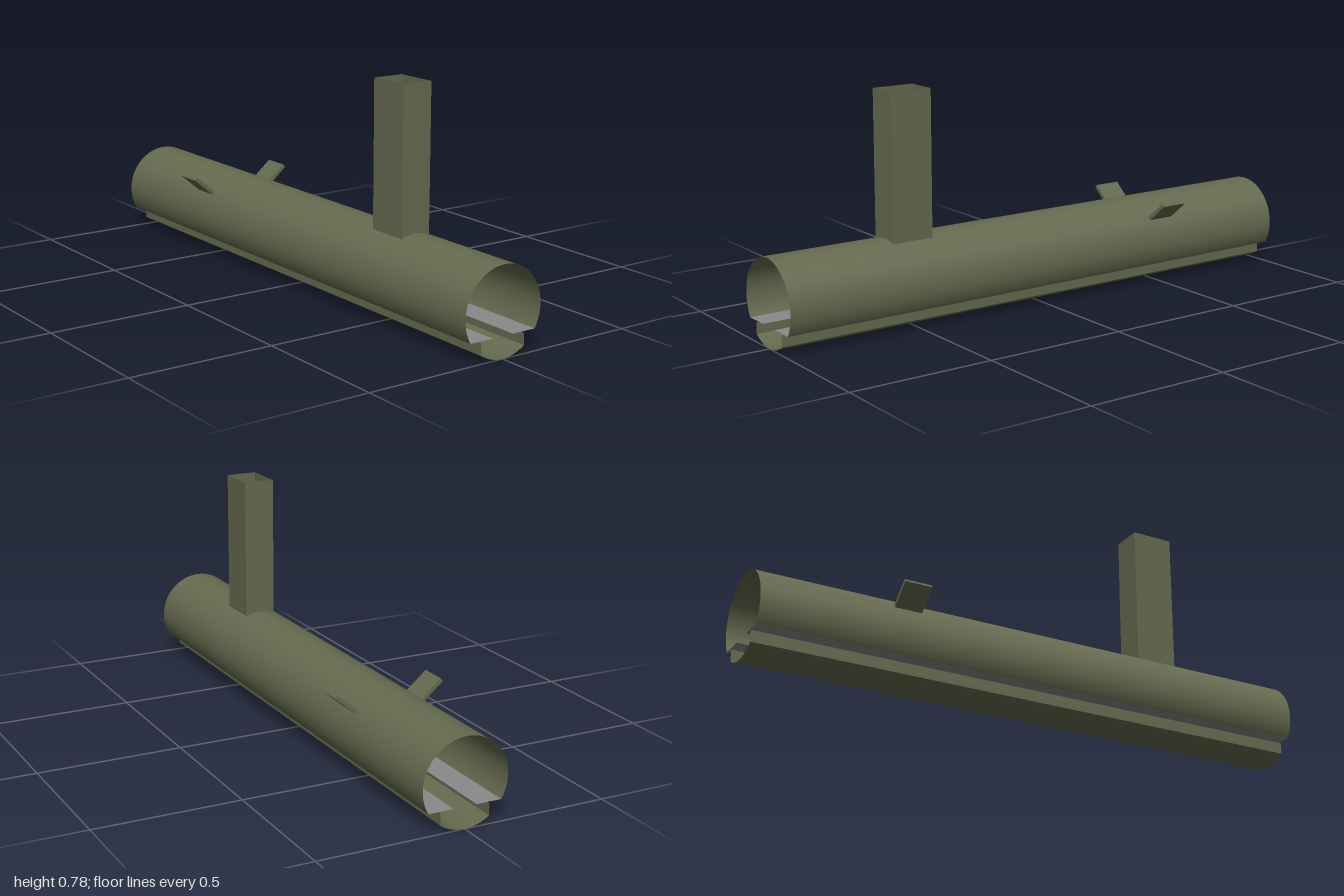
import * as THREE from 'three';

export function createModel() {
  const olive = new THREE.MeshStandardMaterial({ name: 'olive', color: 0x666a4f, side: THREE.DoubleSide });
  const grey = new THREE.MeshStandardMaterial({ name: 'grey', color: 0x8a8a8a, side: THREE.DoubleSide });
  const model = new THREE.Group();
  model.name = 'slottedTube';

  const R = 0.148, LENGTH = 2;
  const add = (name, geometry, material, x = 0, y = 0, z = 0) => {
    const mesh = new THREE.Mesh(geometry, material);
    mesh.name = name;
    mesh.position.set(x, y, z);
    model.add(mesh);
    return mesh;
  };

  // Thin-walled arc running along z; angles are measured from the bottom
  const arc = (start, sweep, segments) =>
    new THREE.CylinderGeometry(R, R, LENGTH, segments, 1, true, start, sweep).rotateX(Math.PI / 2);

  // Upper tube and lower trough, leaving a slot on each side
  const slotY = 0.072, lipX = 0.085;
  const upperEnd = Math.acos((R - slotY) / R);
  const troughEnd = Math.asin(lipX / R);
  add('upperTube', arc(upperEnd, 2 * (Math.PI - upperEnd), 64), olive, 0, R);
  add('lowerTrough', arc(-troughEnd, 2 * troughEnd, 20), olive, 0, R);

  // Slot ledges, trough lips and tilted fins, mirrored
  const lipBottom = R - R * Math.cos(troughEnd), lipTop = 0.066;
  const ledgeInner = 0.04, ledgeOuter = R * Math.sin(upperEnd);
  for (const [side, s] of [['left', 1], ['right', -1]]) {
    add(side + 'Ledge', new THREE.PlaneGeometry(ledgeOuter - ledgeInner, LENGTH).rotateX(-Math.PI / 2),
      grey, s * (ledgeInner + ledgeOuter) / 2, slotY);
    add(side + 'Lip', new THREE.PlaneGeometry(LENGTH, lipTop - lipBottom).rotateY(s * Math.PI / 2),
      olive, s * lipX, (lipTop + lipBottom) / 2);
    const fin = add(side + 'Fin', new THREE.BoxGeometry(0.096, 0.013, 0.096), olive, s * 0.154, 0.269, -0.492);
    fin.rotation.z = s * 0.7;
  }

  // Hollow square post, open at the top and fitted over the tube
  const w = 0.055, top = 0.78, zFront = 0.575, zBack = 0.425;
  const saddle = x => R + Math.sqrt(R * R - x * x);
  const wall = new THREE.Shape();
  wall.moveTo(-w, top);
  for (let i = 0; i <= 12; i++) {
    const x = -w + (2 * w * i) / 12;
    wall.lineTo(x, saddle(x));
  }
  wall.lineTo(w, top);
  const wallGeometry = new THREE.ShapeGeometry(wall);
  add('postFrontWall', wallGeometry, olive, 0, 0, zFront);
  add('postBackWall', wallGeometry.clone().rotateY(Math.PI), olive, 0, 0, zBack);
  const bottom = saddle(w);
  for (const s of [1, -1]) {
    add(s > 0 ? 'postLeftWall' : 'postRightWall',
      new THREE.PlaneGeometry(zFront - zBack, top - bottom).rotateY(s * Math.PI / 2),
      olive, s * w, (top + bottom) / 2, (zFront + zBack) / 2);
  }
  return model;
}
